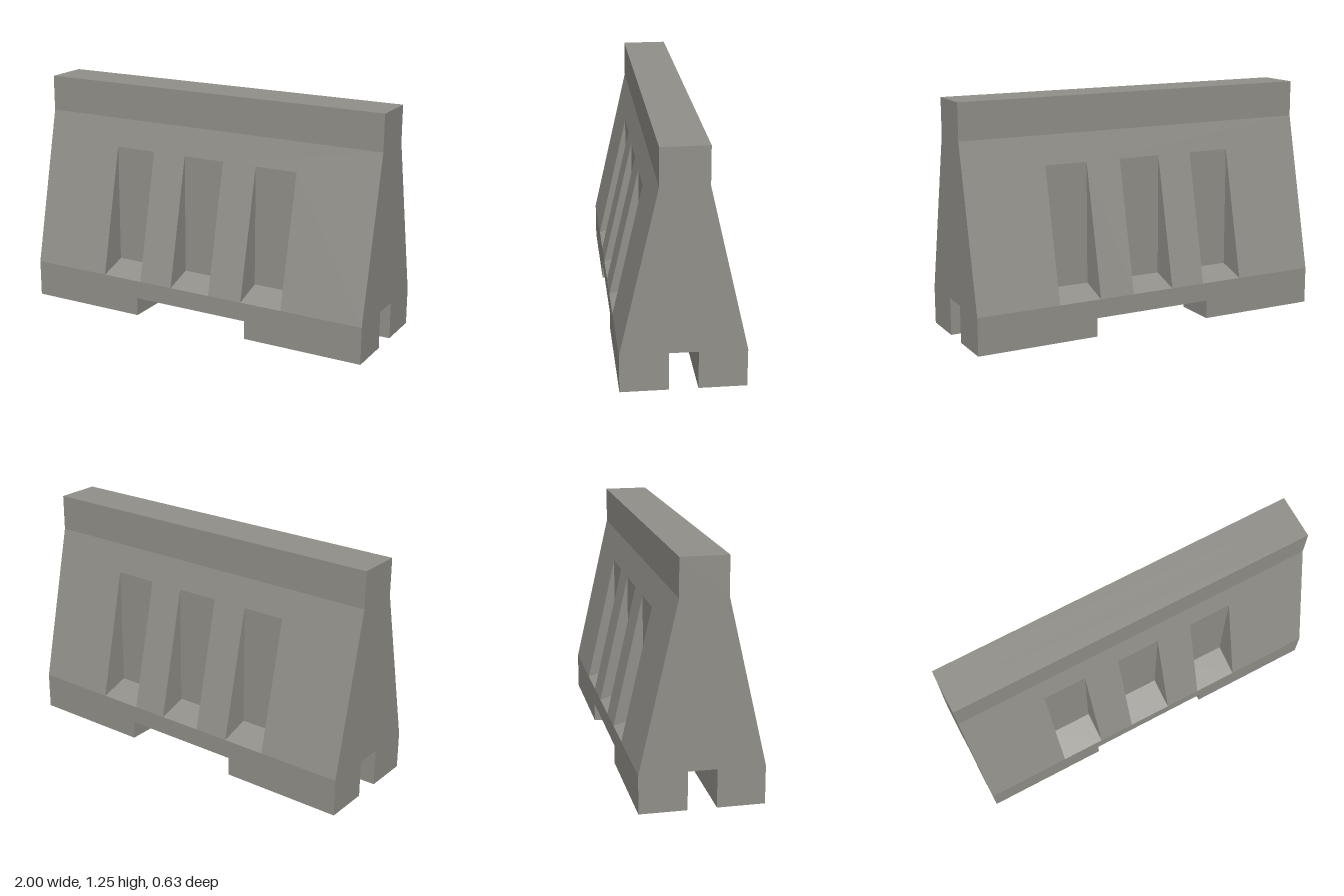
import * as THREE from 'three';

const L = 1;                              // half length
const BASE = 0.315, CROWN = 0.12;         // half depths
const Y1 = 0.2, Y2 = 1.055, TOP = 1.25;   // heights of the profile breaks
const CUT = 0.335, CUT_H = 0.1;           // forklift opening
const GROOVE = 0.073;                     // half width of the lengthwise groove
const PW = 0.1175, PZ = 0.155, PY = 0.25; // pocket half width, back wall depth, floor rise
const POCKETS = [-0.43, 0, 0.43];
const PTOP = Y1 + (BASE - PZ) / (BASE - CROWN) * (Y2 - Y1);
const slopeZ = (y) => BASE - (y - Y1) / (Y2 - Y1) * (BASE - CROWN);

// Flat polygon from 3D corners, facing the given normal
function face(out, normal, pts) {
  const n = new THREE.Vector3(...normal);
  const v = pts.map((p) => new THREE.Vector3(...p));
  const a = normal.map(Math.abs);
  const drop = a.indexOf(Math.max(...a));
  const flat = pts.map((p) => new THREE.Vector2(...p.filter((_, i) => i !== drop)));
  for (const [i, j, k] of THREE.ShapeUtils.triangulateShape(flat, [])) {
    const c = v[j].clone().sub(v[i]).cross(v[k].clone().sub(v[i]));
    const order = c.dot(n) > 0 ? [i, j, k] : [i, k, j];
    order.forEach((q) => out.push(v[q].x, v[q].y, v[q].z));
  }
}

export function createModel() {
  const concrete = new THREE.MeshStandardMaterial({ color: 0x92908a });
  concrete.name = 'concrete grey';

  // Half of the barrier; the other half is the same turned by 180 degrees
  const half = () => {
    const g = new THREE.Group();
    const part = (name, build) => {
      const pos = [];
      build((n, pts) => face(pos, n, pts));
      const geo = new THREE.BufferGeometry();
      geo.setAttribute('position', new THREE.Float32BufferAttribute(pos, 3));
      geo.computeVertexNormals();
      const mesh = new THREE.Mesh(geo, concrete);
      mesh.name = name;
      g.add(mesh);
    };
    // Outline of a leg wall with the forklift opening
    const legWall = (z) => [[-L, 0], [-CUT, 0], [-CUT, CUT_H], [CUT, CUT_H],
      [CUT, 0], [L, 0], [L, Y1], [-L, Y1]].map(([x, y]) => [x, y, z]);
    // Horizontal rectangle
    const level = (x0, x1, y, z0, z1) => [[x0, y, z0], [x1, y, z0], [x1, y, z1], [x0, y, z1]];

    part('crown', (f) => {
      f([0, 1, 0], level(-L, L, TOP, 0, CROWN));
      f([0, 0, 1], [[-L, Y2, CROWN], [L, Y2, CROWN], [L, TOP, CROWN], [-L, TOP, CROWN]]);
    });

    // Sloped wall, notched where the pockets open
    part('slopedWall', (f) => {
      const outline = [[-L, Y1]];
      for (const x of POCKETS) {
        outline.push([x - PW, Y1], [x - PW, PTOP], [x + PW, PTOP], [x + PW, Y1]);
      }
      outline.push([L, Y1], [L, Y2], [-L, Y2]);
      f([0, 0.2, 1], outline.map(([x, y]) => [x, y, slopeZ(y)]));
    });

    part('pockets', (f) => {
      for (const x of POCKETS) {
        const a = x - PW, b = x + PW;
        f([0, 0, 1], [[a, PY, PZ], [b, PY, PZ], [b, PTOP, PZ], [a, PTOP, PZ]]);
        f([0, 1, 0.3], [[a, Y1, BASE], [b, Y1, BASE], [b, PY, PZ], [a, PY, PZ]]);
        for (const [s, q] of [[1, a], [-1, b]]) {
          f([s, 0, 0], [[q, Y1, BASE], [q, PY, PZ], [q, PTOP, PZ]]);
        }
      }
    });

    part('baseWall', (f) => f([0, 0, 1], legWall(BASE)));

    part('grooveLining', (f) => {
      f([0, 0, -1], legWall(GROOVE));
      f([0, -1, 0], level(-L, L, Y1, 0, GROOVE));
    });

    part('feet', (f) => {
      f([0, -1, 0], level(-CUT, CUT, CUT_H, GROOVE, BASE));
      for (const s of [-1, 1]) {
        f([0, -1, 0], level(s * CUT, s * L, 0, GROOVE, BASE));
        f([-s, 0, 0], [[s * CUT, 0, GROOVE], [s * CUT, 0, BASE],
          [s * CUT, CUT_H, BASE], [s * CUT, CUT_H, GROOVE]]);
      }
    });

    part('endWall', (f) => {
      const side = [[Y1, GROOVE], [0, GROOVE], [0, BASE], [Y1, BASE], [Y2, CROWN], [TOP, CROWN]];
      const mirrored = side.map(([y, z]) => [y, -z]).reverse();
      f([1, 0, 0], [...side, ...mirrored].map(([y, z]) => [L, y, z]));
    });
    return g;
  };

  const model = new THREE.Group();
  model.name = 'roadBarrier';
  const front = half();
  front.name = 'frontHalf';
  const back = half();
  back.name = 'backHalf';
  back.rotation.y = Math.PI;
  model.add(front, back);
  return model;
}
